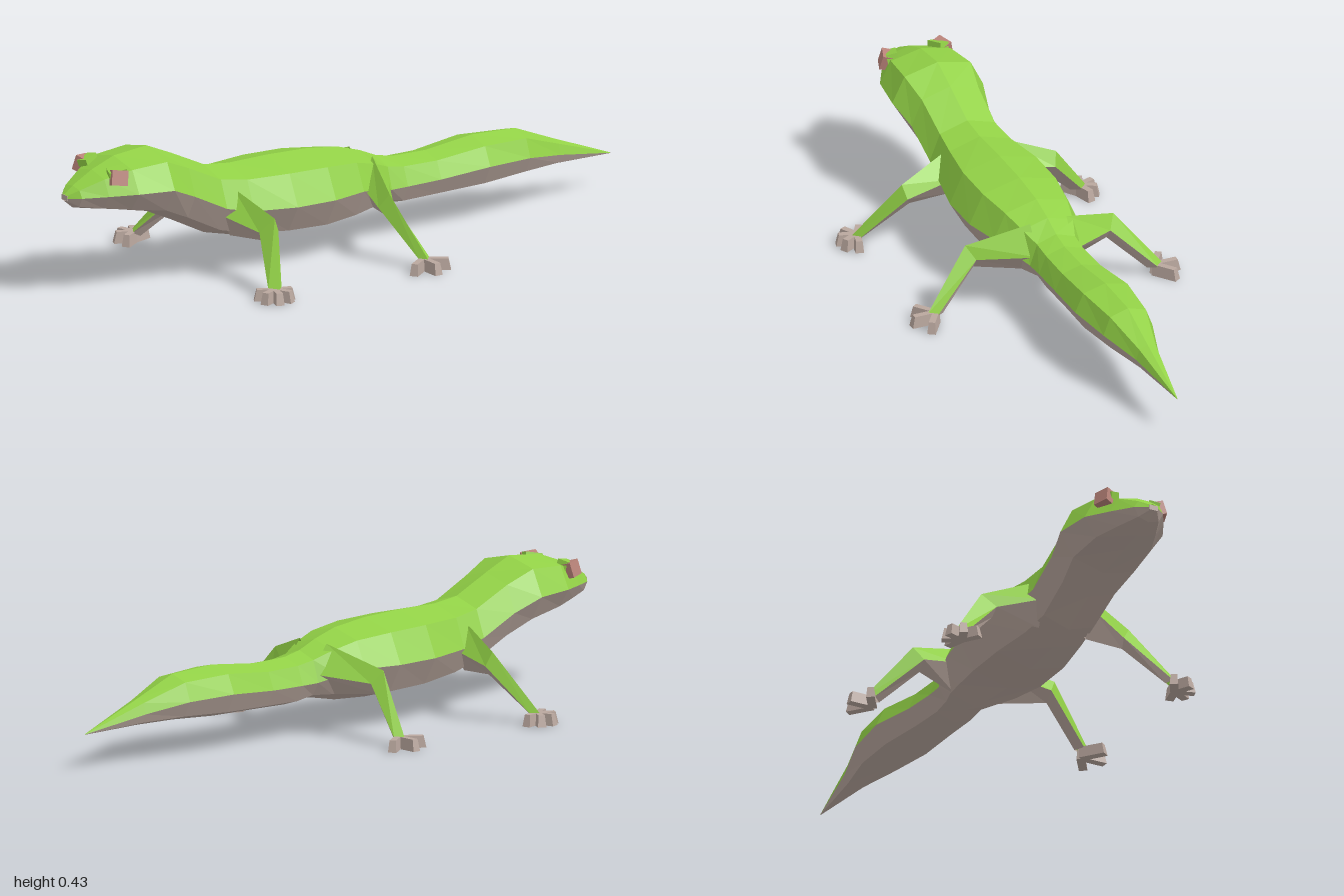
import * as THREE from 'three';

const mat = (name, color) => {
  const m = new THREE.MeshStandardMaterial({ color, flatShading: true, side: THREE.DoubleSide });
  m.name = name;
  return m;
};

// Flat-faced skin joining open rows of points, one row per cross-section
function loft(rows) {
  const pos = [];
  for (let i = 0; i < rows.length - 1; i++) {
    const a = rows[i], b = rows[i + 1];
    for (let j = 0; j < a.length - 1; j++) {
      pos.push(...a[j], ...a[j + 1], ...b[j + 1], ...a[j], ...b[j + 1], ...b[j]);
    }
  }
  const g = new THREE.BufferGeometry();
  g.setAttribute('position', new THREE.Float32BufferAttribute(pos, 3));
  g.computeVertexNormals();
  return g;
}

// Mirror rows across x, reversing them so faces still point outward
const mirrorRows = (rows) => rows.map((r) => r.map(([x, y, z]) => [-x, y, z]).reverse());

// Body sections from snout to tail tip: z, half width, top, seam, bottom
const SECTIONS = [
  [1.0, 0.016, 0.329, 0.318, 0.308],
  [0.97, 0.05, 0.352, 0.322, 0.283],
  [0.9, 0.092, 0.39, 0.326, 0.268],
  [0.82, 0.135, 0.42, 0.33, 0.252],
  [0.7, 0.15, 0.431, 0.325, 0.225],
  [0.61, 0.128, 0.392, 0.285, 0.183],
  [0.49, 0.124, 0.335, 0.225, 0.122],
  [0.4, 0.137, 0.324, 0.205, 0.1],
  [0.26, 0.165, 0.325, 0.2, 0.084],
  [0.12, 0.165, 0.32, 0.198, 0.077],
  [0.0, 0.14, 0.305, 0.198, 0.084],
  [-0.08, 0.115, 0.28, 0.185, 0.1],
  [-0.14, 0.086, 0.254, 0.166, 0.11],
  [-0.2, 0.084, 0.241, 0.165, 0.096],
  [-0.32, 0.087, 0.238, 0.167, 0.098],
  [-0.49, 0.1, 0.257, 0.18, 0.1],
  [-0.65, 0.081, 0.25, 0.175, 0.11],
  [-0.79, 0.038, 0.193, 0.15, 0.113],
  [-1.0, 0.001, 0.112, 0.111, 0.11],
];

const upperRow = ([z, w, top, seam]) => {
  const y = top - 0.24 * (top - seam);
  return [[-w, seam, z], [-0.73 * w, y, z], [0, top, z], [0.73 * w, y, z], [w, seam, z]];
};
const lowerRow = ([z, w, , seam, bot]) => {
  const y = bot + 0.27 * (seam - bot);
  return [[w, seam, z], [0.7 * w, y, z], [0, bot, z], [-0.7 * w, y, z], [-w, seam, z]];
};

// Leg sections from body to ankle: top, front, bottom, back
const LEGS = {
  front: {
    rings: [
      [[0.09, 0.275, 0.445], [0.09, 0.2, 0.495], [0.08, 0.125, 0.45], [0.09, 0.2, 0.395]],
      [[0.255, 0.213, 0.408], [0.22, 0.166, 0.44], [0.225, 0.138, 0.42], [0.245, 0.17, 0.388]],
      [[0.388, 0.033, 0.482], [0.355, 0.033, 0.502], [0.338, 0.025, 0.485], [0.368, 0.03, 0.462]],
    ],
    foot: [0.368, 0.488], toes: [-75, -28, 18, 65, 122], reach: 0.062,
  },
  hind: {
    rings: [
      [[0.06, 0.275, -0.085], [0.09, 0.2, -0.025], [0.06, 0.12, -0.08], [0.06, 0.19, -0.145]],
      [[0.245, 0.212, -0.02], [0.22, 0.168, 0.004], [0.22, 0.138, -0.025], [0.222, 0.172, -0.05]],
      [[0.388, 0.033, -0.062], [0.362, 0.033, -0.045], [0.338, 0.025, -0.062], [0.366, 0.03, -0.084]],
    ],
    foot: [0.36, -0.062], toes: [-55, 0, 55], reach: 0.083,
  },
};

// Blocky toe running along +x from the ankle, wider at its base edge
function toeGeometry(reach) {
  const g = new THREE.BoxGeometry(reach, 0.036, 0.026);
  g.translate(reach / 2, 0.018, 0);
  const p = g.attributes.position;
  for (let i = 0; i < p.count; i++) {
    if (p.getY(i) > 0.02) {
      p.setZ(i, p.getZ(i) * 0.75);
      if (p.getX(i) > 0.02) p.setX(i, p.getX(i) - 0.008);
    }
  }
  g.computeVertexNormals();
  return g;
}

export function createModel() {
  const green = mat('skinGreen', 0x92d146);
  const grey = mat('bellyGrey', 0xb9a79e);
  const pink = mat('eyePink', 0xb98379);

  const model = new THREE.Group();
  model.name = 'lizard';
  const add = (parent, name, geometry, material) => {
    const m = new THREE.Mesh(geometry, material);
    m.name = name;
    parent.add(m);
    return m;
  };

  // Head, trunk and tail in one skin, split at the side seam
  add(model, 'back', loft(SECTIONS.map(upperRow)), green);
  add(model, 'belly', loft(SECTIONS.map(lowerRow)), grey);
  add(model, 'noseTip', new THREE.BoxGeometry(0.03, 0.016, 0.009), grey).position.set(0, 0.319, 0.9955);

  for (const s of [1, -1]) {
    const side = s > 0 ? 'left' : 'right';

    // Eye with a brow ridge on its inner side
    const eye = add(model, side + 'Eye', new THREE.BoxGeometry(0.03, 0.046, 0.05), pink);
    eye.position.set(s * 0.095, 0.381, 0.867);
    eye.rotation.set(-0.12, s * -0.35, s * 0.22);
    const brow = add(model, side + 'Brow', new THREE.BoxGeometry(0.034, 0.034, 0.055), green);
    brow.position.set(s * 0.076, 0.389, 0.86);
    brow.rotation.set(0.2, s * -0.35, s * -0.15);

    for (const [kind, leg] of Object.entries(LEGS)) {
      const limb = new THREE.Group();
      limb.name = side + (kind === 'front' ? 'FrontLeg' : 'HindLeg');
      model.add(limb);

      // Green upper faces and grey lower faces of the leg
      const orient = (rows) => (s > 0 ? rows : mirrorRows(rows));
      const upper = leg.rings.map(([t, f, , b]) => [b, t, f]);
      const lower = leg.rings.map(([, f, u, b]) => [f, u, b]);
      add(limb, 'legTop', loft(orient(upper)), green);
      add(limb, 'legUnderside', loft(orient(lower)), grey);

      // Splayed toes
      for (const deg of leg.toes) {
        const a = THREE.MathUtils.degToRad(deg);
        const toe = add(limb, 'toe', toeGeometry(leg.reach), grey);
        toe.position.set(s * leg.foot[0], 0, leg.foot[1]);
        toe.rotation.y = s > 0 ? -a : Math.PI + a;
      }
    }
  }
  return model;
}
